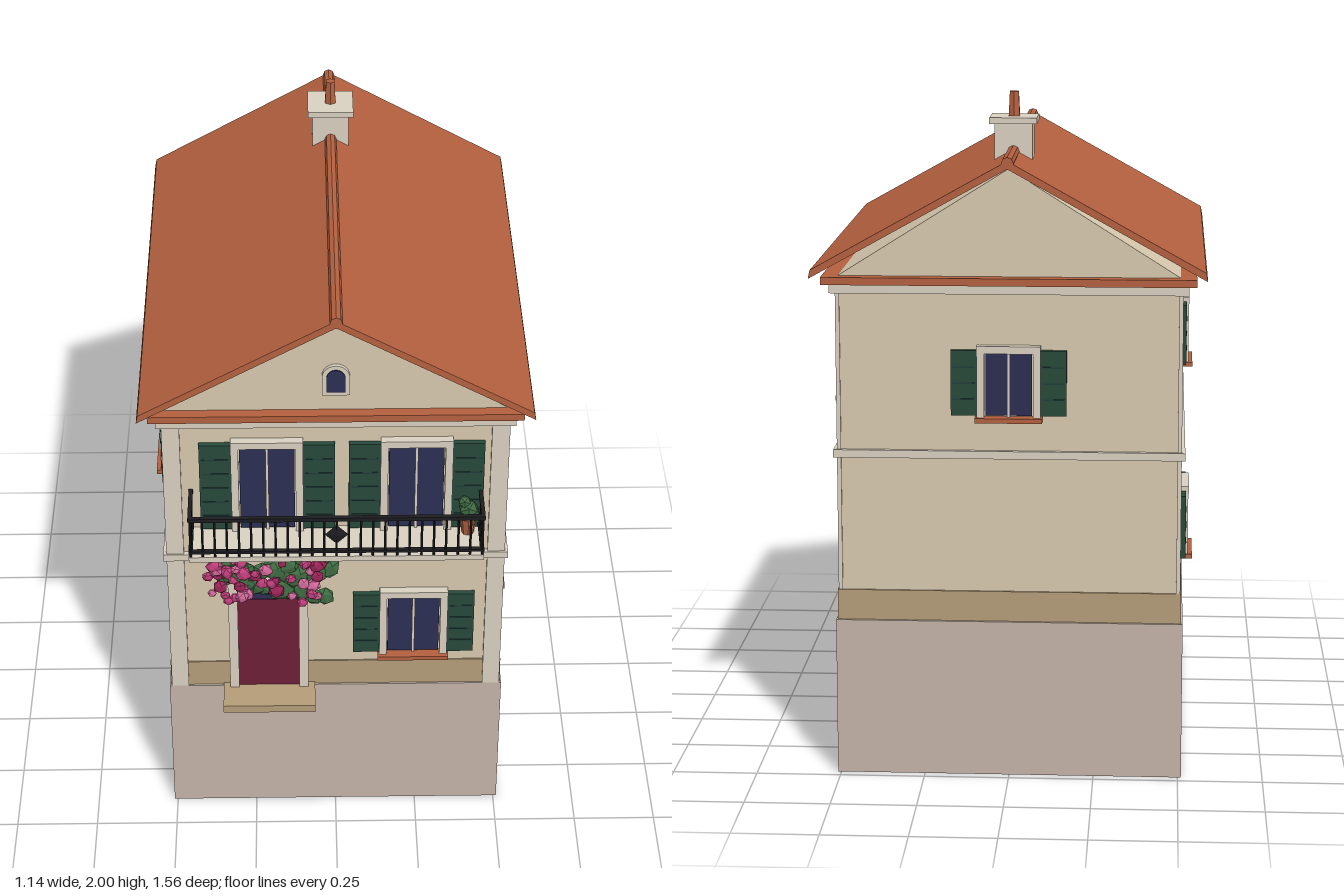
import * as THREE from 'three';

const COLORS = {
  wall: 0xd6c8ae, trim: 0xd9d0c0, base: 0xc4b3a8, plinth: 0xb49c78, tile: 0xb4603f,
  shutter: 0x27493a, slat: 0x203c3c, glass: 0x2b2e52, door: 0x6e1f38, iron: 0x1d1c20,
  leaf: 0x3f6b42, pink: 0xc23f7c, magenta: 0x9c2458, pale: 0xd46a9c,
};
const mats = {};
const mat = (c) => (mats[c] ??= new THREE.MeshStandardMaterial({ color: COLORS[c], flatShading: true }));

function add(parent, name, geo, color, x = 0, y = 0, z = 0) {
  const m = new THREE.Mesh(geo, mat(color));
  m.name = name;
  m.position.set(x, y, z);
  parent.add(m);
  return m;
}
// Box given by its limits on each axis
function box(parent, name, color, x0, x1, y0, y1, z0, z1) {
  return add(parent, name, new THREE.BoxGeometry(x1 - x0, y1 - y0, z1 - z0), color,
    (x0 + x1) / 2, (y0 + y1) / 2, (z0 + z1) / 2);
}
function group(parent, name, x = 0, y = 0, z = 0, ry = 0) {
  const g = new THREE.Group();
  g.name = name;
  g.position.set(x, y, z);
  g.rotation.y = ry;
  parent.add(g);
  return g;
}
function extrude(points, depth) {
  const s = new THREE.Shape(points.map(([x, y]) => new THREE.Vector2(x, y)));
  return new THREE.ExtrudeGeometry(s, { depth, bevelEnabled: false });
}

// Shuttered window facing +z, with its sill line at local y = 0
function addWindow(parent, name, x, y, z, ry, w, h, sw, sill = true) {
  const g = group(parent, name, x, y, z, ry);
  const f = 0.022, a = w / 2;
  for (const s of [-1, 1]) {
    const cx = s * (a - f / 2);
    box(g, 'frameSide', 'trim', cx - f / 2, cx + f / 2, 0, h, 0, 0.025);
    const p = s * (a - f) / 2, pw = (a - f) / 2 - 0.003;
    box(g, 'pane', 'glass', p - pw, p + pw, 0.004, h - f, 0, 0.01);
    // Shutter leaf with louvre lines
    const c = s * (a + sw / 2);
    box(g, 'shutter', 'shutter', c - sw / 2, c + sw / 2, 0.005, h - 0.014, 0, 0.018);
    const n = Math.round(h / 0.05);
    for (let i = 1; i < n; i++) {
      const yy = 0.005 + (h - 0.02) * i / n;
      box(g, 'slat', 'slat', c - sw * 0.42, c + sw * 0.42, yy - 0.002, yy + 0.002, 0.017, 0.02);
    }
  }
  box(g, 'frameTop', 'trim', -a, a, h - f, h, 0, 0.027);
  box(g, 'mullion', 'trim', -0.004, 0.004, 0, h - f, 0, 0.014);
  if (sill) box(g, 'sill', 'tile', -a - 0.005, a + 0.005, -0.014, 0, 0, 0.038);
}

function archShape(w, h) {
  const s = new THREE.Shape();
  s.moveTo(-w, 0);
  s.lineTo(w, 0);
  s.lineTo(w, h - w);
  s.absarc(0, h - w, w, 0, Math.PI, false);
  s.closePath();
  return s;
}

function rng(seed) {
  return () => (seed = (seed * 16807) % 2147483647) / 2147483647;
}

export function createModel() {
  const root = new THREE.Group();
  root.name = 'house';
  const F = 0.63, B = -0.705;

  // Body: foundation, plinth, walls and mouldings
  box(root, 'foundation', 'base', -0.51, 0.51, 0, 0.47, -0.72, 0.64);
  box(root, 'plinth', 'plinth', -0.505, 0.505, 0.47, 0.56, B - 0.006, F + 0.004);
  box(root, 'walls', 'wall', -0.5, 0.5, 0.47, 1.45, B, F);
  box(root, 'beltCourse', 'trim', -0.512, 0.512, 0.96, 0.983, B - 0.014, F + 0.016);
  box(root, 'cornice', 'trim', -0.518, 0.518, 1.445, 1.472, B - 0.02, F + 0.022);
  box(root, 'eavesCourse', 'tile', -0.54, 0.54, 1.472, 1.494, B - 0.04, F + 0.035);
  for (const s of [-1, 1]) {
    const c = s * 0.477;
    box(root, 'frontPilaster', 'trim', c - 0.026, c + 0.026, 0.47, 1.445, F - 0.015, F + 0.01);
    box(root, 'backCornerStrip', 'trim', s * 0.496 - 0.006, s * 0.496 + 0.006, 0.56, 1.445, B - 0.005, B + 0.01);
  }

  // Gables and roof
  add(root, 'gable', extrude([[-0.5, 1.49], [0.5, 1.49], [0, 1.805]], F - B), 'wall', 0, 0, B);
  add(root, 'roof', extrude([[-0.57, 1.495], [0, 1.812], [0.57, 1.495], [0.565, 1.52],
    [0, 1.835], [-0.565, 1.52]], 1.475), 'tile', 0, 0, -0.78);
  const ridge = add(root, 'ridge', new THREE.CylinderGeometry(0.018, 0.018, 1.475, 8), 'tile', 0, 1.828, -0.0425);
  ridge.rotation.x = Math.PI / 2;

  // Arched attic window
  const attic = group(root, 'atticWindow', 0, 1.55, F);
  const flat = (d) => ({ depth: d, bevelEnabled: false, curveSegments: 8 });
  add(attic, 'atticFrame', new THREE.ExtrudeGeometry(archShape(0.04, 0.1), flat(0.012)), 'trim');
  add(attic, 'atticPane', new THREE.ExtrudeGeometry(archShape(0.027, 0.075), flat(0.016)), 'glass', 0, 0.012, 0);

  // Chimney
  const chimney = group(root, 'chimney', 0, 0, -0.41);
  box(chimney, 'chimneyStack', 'trim', -0.056, 0.056, 1.8, 1.912, -0.056, 0.056);
  box(chimney, 'chimneyCap', 'trim', -0.07, 0.07, 1.91, 1.928, -0.07, 0.07);
  add(chimney, 'chimneyPot', new THREE.CylinderGeometry(0.015, 0.019, 0.075, 6), 'tile', 0, 1.9625, 0);

  // Windows
  const q = Math.PI / 2;
  addWindow(root, 'frenchWindow', -0.2, 1.075, F, 0, 0.21, 0.32, 0.092, false);
  addWindow(root, 'frenchWindow', 0.235, 1.075, F, 0, 0.21, 0.32, 0.092, false);
  addWindow(root, 'frontWindow', 0.235, 0.6, F, 0, 0.205, 0.24, 0.08);
  addWindow(root, 'backWindow', 0, 1.085, B, Math.PI, 0.185, 0.21, 0.075);
  for (const s of [-1, 1]) {
    const mid = -0.04;
    addWindow(root, 'upperSideWindow', s * 0.5, 1.085, mid - s * 0.3, s * q, 0.185, 0.21, 0.075);
    addWindow(root, 'lowerSideWindow', s * 0.5, 0.6, mid + s * 0.266, s * q, 0.185, 0.21, 0.075);
  }

  // Front door with transom and step
  const door = group(root, 'frontDoor', -0.203, 0.475, F);
  for (const s of [-1, 1]) box(door, 'doorJamb', 'trim', s * 0.106 - 0.014, s * 0.106 + 0.014, 0, 0.4, 0, 0.026);
  box(door, 'doorLintel', 'trim', -0.12, 0.12, 0.385, 0.415, 0, 0.028);
  box(door, 'doorLeaf', 'door', -0.092, 0.092, 0, 0.335, 0, 0.014);
  box(door, 'transom', 'glass', -0.092, 0.092, 0.335, 0.385, 0, 0.012);
  box(root, 'doorStep', 'plinth', -0.343, -0.063, 0.45, 0.476, 0.63, 0.745);

  // Balcony slab and iron railing
  const balcony = group(root, 'balcony');
  box(balcony, 'balconySlab', 'trim', -0.43, 0.43, 1.057, 1.075, F, 0.778);
  for (const [y, t] of [[1.209, 0.006], [1.093, 0.004]]) {
    box(balcony, 'frontRail', 'iron', -0.43, 0.43, y - t, y + t, 0.766, 0.78);
    for (const s of [-1, 1]) box(balcony, 'sideRail', 'iron', s * 0.424 - 0.006, s * 0.424 + 0.006, y - t, y + t, F, 0.775);
  }
  const bar = new THREE.CylinderGeometry(0.004, 0.004, 0.14, 6);
  for (let i = 0; i <= 24; i++) add(balcony, 'baluster', bar, 'iron', -0.424 + 0.848 * i / 24, 1.142, 0.773);
  for (const s of [-1, 1]) {
    for (let i = 0; i < 4; i++) add(balcony, 'sideBaluster', bar, 'iron', s * 0.424, 1.142, 0.645 + i * 0.033);
  }
  const ornament = add(balcony, 'railOrnament', new THREE.OctahedronGeometry(0.034), 'iron', 0, 1.152, 0.773);
  ornament.scale.z = 0.2;

  // Potted plant on the balcony
  const plant = group(root, 'pottedPlant', 0.388, 1.075, 0.665);
  add(plant, 'pot', new THREE.CylinderGeometry(0.025, 0.018, 0.055, 8), 'tile', 0, 0.0275, 0);
  for (const [x, y, r] of [[0, 0.085, 0.03], [-0.012, 0.11, 0.02], [0.014, 0.075, 0.02]]) {
    add(plant, 'potLeaves', new THREE.IcosahedronGeometry(r, 0), 'leaf', x, y, 0);
  }

  // Climbing flowers above the door
  const vine = group(root, 'climbingFlowers');
  const rand = rng(77);
  const leafGeo = new THREE.IcosahedronGeometry(1, 0);
  const clump = (name, color, x, y, z, r) => {
    const m = add(vine, name, leafGeo, color, x, y, z);
    m.scale.set(r, r * (0.8 + 0.4 * rand()), r * 0.6);
    m.rotation.z = rand() * 6;
  };
  for (let i = 0; i < 26; i++) {
    const t = i / 25;
    clump('leaves', 'leaf', -0.33 + 0.31 * t, 0.93 - 0.02 * t + (rand() - 0.5) * (0.06 + 0.11 * t),
      0.652 + rand() * 0.015, 0.026 + rand() * 0.016);
  }
  const tones = ['pink', 'magenta', 'pale'];
  for (let i = 0; i < 38; i++) {
    const t = rand();
    clump('blossom', tones[i % 3], -0.385 + 0.35 * t, 0.935 - 0.02 * t + (rand() - 0.5) * 0.15,
      0.672 + rand() * 0.025, 0.014 + rand() * 0.012);
  }
  for (const [x, y] of [[-0.32, 0.84], [-0.3, 0.85], [-0.33, 0.86], [-0.28, 1.0], [-0.1, 0.83]]) {
    clump('blossom', 'pink', x, y, 0.685, 0.017);
  }
  return root;
}
